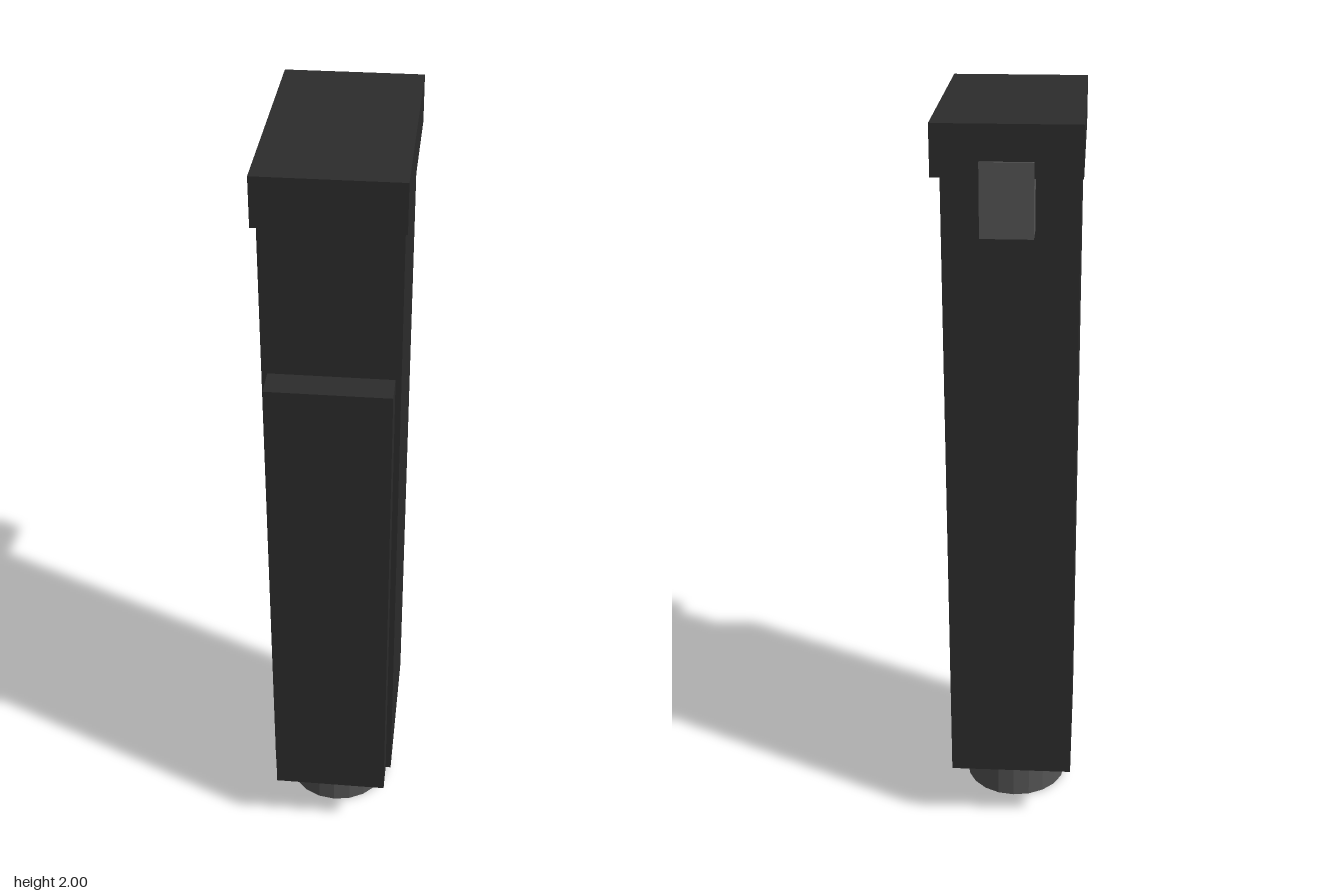
import * as THREE from 'three';

export function createModel() {
  const model = new THREE.Group();
  const dark = new THREE.MeshStandardMaterial({ color: 0x2c2c2c, flatShading: true });
  const grey = new THREE.MeshStandardMaterial({ color: 0x555555, flatShading: true });

  // Box centred on x, given by its width and its y and z limits
  function addBox(name, width, [y0, y1], [z0, z1], material) {
    const mesh = new THREE.Mesh(new THREE.BoxGeometry(width, y1 - y0, z1 - z0), material);
    mesh.position.set(0, (y0 + y1) / 2, (z0 + z1) / 2);
    mesh.name = name;
    model.add(mesh);
  }

  // Tall housing with its overhanging cap
  addBox('body', 0.33, [0.175, 1.88], [-0.178, 0.25], dark);
  addBox('cap', 0.344, [1.88, 2], [-0.325, 0.296], dark);

  // Raised panel on the front
  addBox('frontPanel', 0.302, [0.175, 1.482], [0.25, 0.33], dark);

  // Tab hanging from the back of the cap
  addBox('rearTab', 0.124, [1.743, 1.917], [-0.331, -0.249], grey);

  // Round foot
  const foot = new THREE.Mesh(new THREE.CylinderGeometry(0.143, 0.143, 0.175, 20), grey);
  foot.position.set(0, 0.0875, 0.085);
  foot.name = 'foot';
  model.add(foot);

  return model;
}
